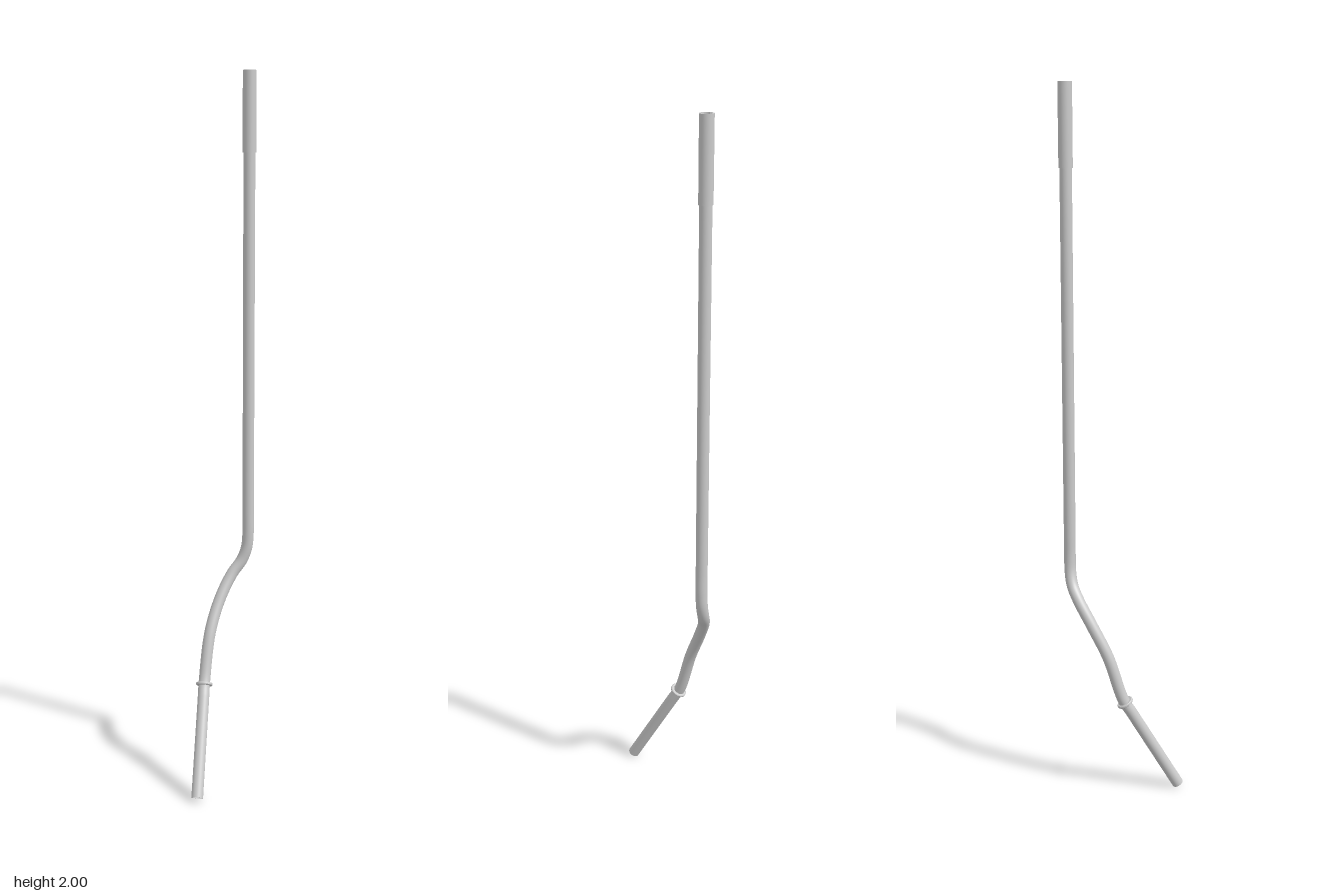
import * as THREE from 'three';

const material = new THREE.MeshStandardMaterial({ color: 0xcccccc, side: THREE.DoubleSide });
const UP = new THREE.Vector3(0, 1, 0);
const SIDES = 32;
const R = 0.0165, BORE = 0.014, SLEEVE_R = 0.019;

function mesh(name, geometry) {
  const m = new THREE.Mesh(geometry, material);
  m.name = name;
  return m;
}

// Closed ring profile [radius, height] turned around the part's own axis
function ring(name, points, position, axis) {
  const profile = points.map(([r, y]) => new THREE.Vector2(r, y));
  const flat = [];
  // Separate strips keep the rim edges sharp
  const group = new THREE.Group();
  group.name = name;
  for (let i = 0; i < profile.length; i++) {
    flat[i] = [profile[i], profile[(i + 1) % profile.length]];
    group.add(mesh(name + 'Face', new THREE.LatheGeometry(flat[i], SIDES)));
  }
  group.position.copy(position);
  group.quaternion.setFromUnitVectors(UP, axis);
  return group;
}

const box = (inner, outer, y0, y1) => [[inner, y0], [outer, y0], [outer, y1], [inner, y1]];

export function createModel() {
  const model = new THREE.Group();
  model.name = 'bentTube';

  const tilt = new THREE.Vector3(0, Math.cos(Math.PI / 6), -Math.sin(Math.PI / 6));
  const foot = new THREE.Vector3(-0.055, 0.0083, 0.148);
  const along = (d) => foot.clone().addScaledVector(tilt, d);
  const topX = 0.0565, topZ = -0.146;

  // Centre line: tilted leg, sweeping double bend, upright run
  const bendStart = along(0.33), bendEnd = new THREE.Vector3(topX, 0.7, topZ);
  const bend = new THREE.CatmullRomCurve3([
    along(0.28), bendStart,
    new THREE.Vector3(-0.044, 0.423, -0.058),
    new THREE.Vector3(-0.02, 0.513, -0.099),
    new THREE.Vector3(0.012, 0.581, -0.131),
    new THREE.Vector3(0.038, 0.618, -0.143),
    new THREE.Vector3(0.052, 0.655, topZ),
    bendEnd,
    new THREE.Vector3(topX, 0.76, topZ),
  ]);
  const path = new THREE.CurvePath();
  path.add(new THREE.LineCurve3(foot, along(0.28)));
  path.add(bend);
  path.add(new THREE.LineCurve3(new THREE.Vector3(topX, 0.76, topZ), new THREE.Vector3(topX, 1.79, topZ)));

  // Tube wall, outside and bore
  model.add(mesh('tube', new THREE.TubeGeometry(path, 240, R, SIDES)));
  model.add(mesh('bore', new THREE.TubeGeometry(path, 240, BORE, SIDES)));
  model.add(ring('footRim', box(BORE, R, 0, 0.002), foot, tilt));

  // Thin collar where the straight leg meets the bend
  model.add(ring('collar', [
    [R - 0.001, -0.004], [0.022, -0.004], [0.024, -0.002],
    [0.024, 0.002], [0.022, 0.004], [R - 0.001, 0.004],
  ], along(0.318), tilt));

  // Wider sleeve at the upper end
  model.add(ring('sleeve', box(BORE, SLEEVE_R, 0, 0.22), new THREE.Vector3(topX, 1.78, topZ), UP));

  return model;
}
